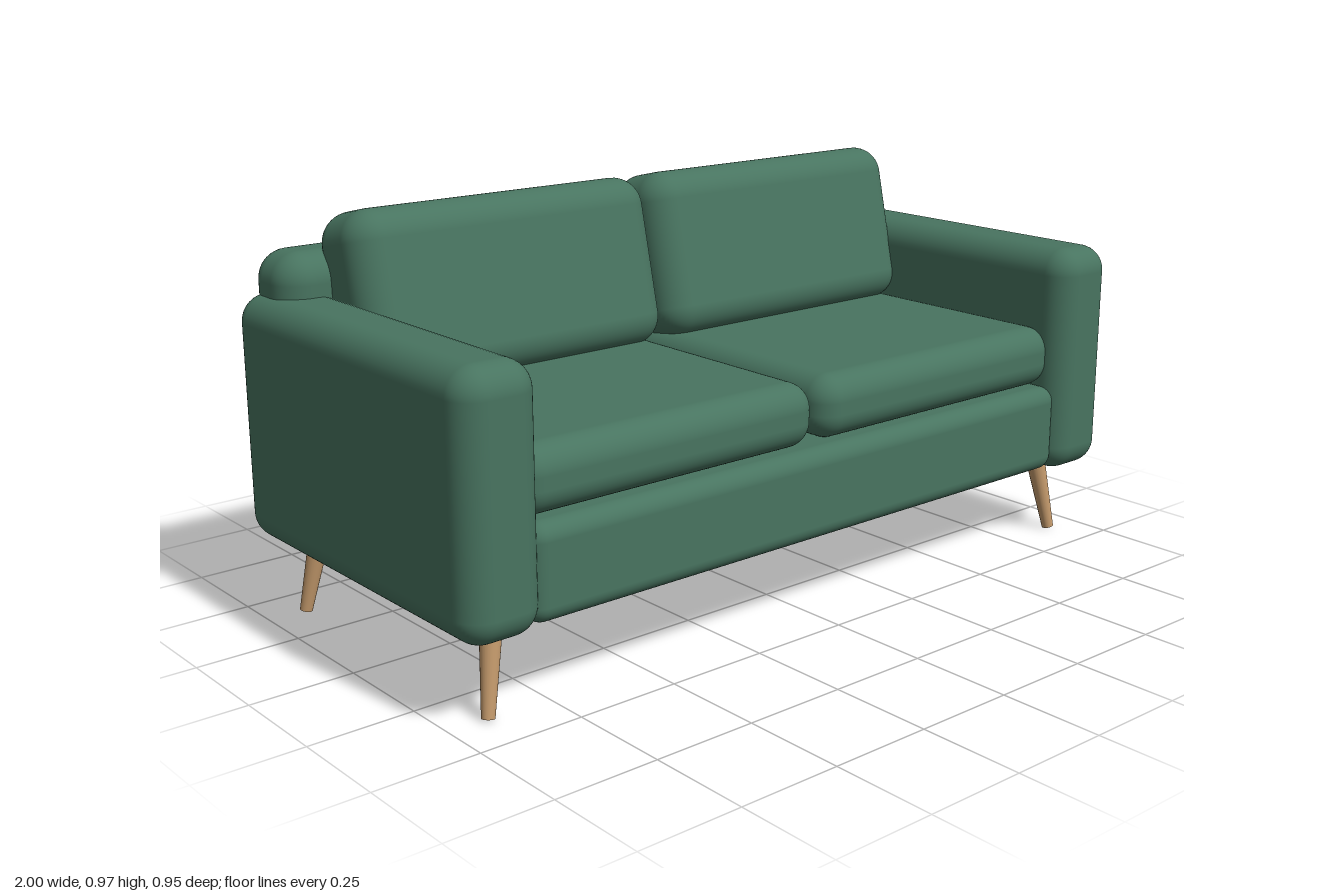
import * as THREE from 'three';
import { RoundedBoxGeometry } from 'three/addons/geometries/RoundedBoxGeometry.js';

const fabric = new THREE.MeshStandardMaterial({ color: 0x487460 });
fabric.name = 'green fabric';
const wood = new THREE.MeshStandardMaterial({ color: 0xc49a6c });
wood.name = 'light wood';

// Upholstered block spanning two opposite corners
function block(name, [x0, y0, z0], [x1, y1, z1], radius) {
  const geometry = new RoundedBoxGeometry(x1 - x0, y1 - y0, z1 - z0, 6, radius);
  const mesh = new THREE.Mesh(geometry, fabric);
  mesh.name = name;
  mesh.position.set((x0 + x1) / 2, (y0 + y1) / 2, (z0 + z1) / 2);
  return mesh;
}

// Tapered leg running from the foot up into the frame
function leg(name, sx, sz) {
  const foot = new THREE.Vector3(0.905 * sx, 0.004, 0.386 * sz);
  const top = new THREE.Vector3(0.867 * sx, 0.23, 0.353 * sz);
  const axis = top.clone().sub(foot);
  const mesh = new THREE.Mesh(new THREE.CylinderGeometry(0.027, 0.015, axis.length(), 24), wood);
  mesh.name = name;
  mesh.position.copy(foot).add(top).multiplyScalar(0.5);
  mesh.quaternion.setFromUnitVectors(new THREE.Vector3(0, 1, 0), axis.normalize());
  return mesh;
}

export function createModel() {
  const sofa = new THREE.Group();
  sofa.name = 'sofa';

  // Frame
  sofa.add(block('seatBase', [-0.83, 0.2, -0.455], [0.83, 0.422, 0.457], 0.04));
  sofa.add(block('backrest', [-0.955, 0.2, -0.476], [0.955, 0.875, -0.296], 0.07));

  for (const [side, s] of [['left', 1], ['right', -1]]) {
    // Arm
    const arm = block(side + 'Arm', [0.805, 0.19, -0.477], [1, 0.776, 0.477], 0.065);
    arm.position.x *= s;

    // Seat cushion
    const seat = block(side + 'SeatCushion', [0.005, 0.42, -0.3], [0.84, 0.575, 0.432], 0.062);
    seat.position.x *= s;

    // Back cushion, leaning on the backrest
    const back = block(side + 'BackCushion', [0.005, 0.55, -0.355], [0.84, 0.969, -0.139], 0.073);
    back.position.x *= s;
    back.rotation.x = THREE.MathUtils.degToRad(-13);

    sofa.add(arm, seat, back);

    // Legs
    sofa.add(leg(side + 'FrontLeg', s, 1), leg(side + 'BackLeg', s, -1));
  }
  return sofa;
}
